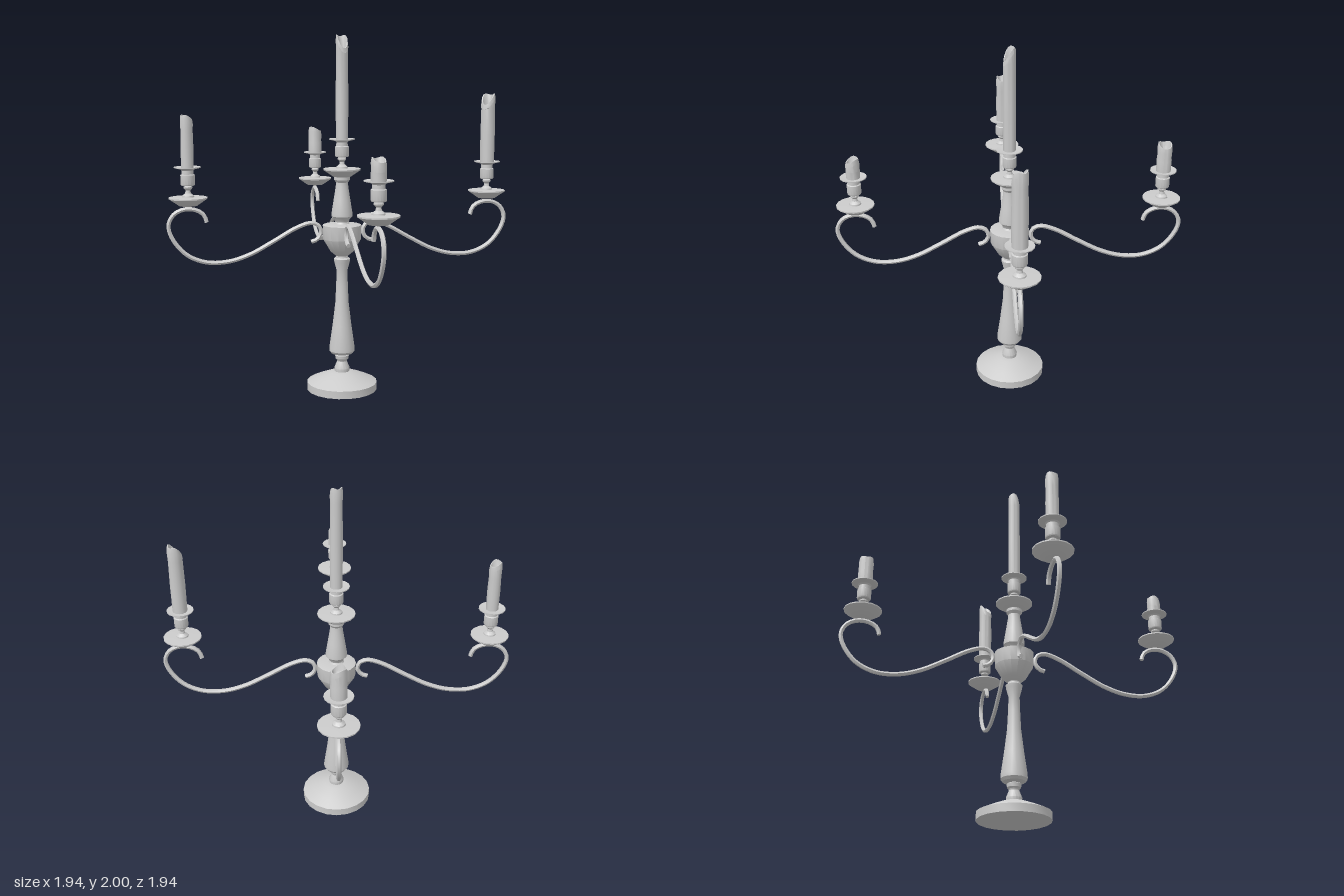
import * as THREE from 'three';
import { toCreasedNormals } from 'three/addons/utils/BufferGeometryUtils.js';

const material = new THREE.MeshStandardMaterial({ color: 0xcccccc, side: THREE.DoubleSide });

function addMesh(parent, name, geometry) {
  const mesh = new THREE.Mesh(toCreasedNormals(geometry, 0.55), material);
  mesh.name = name;
  parent.add(mesh);
  return mesh;
}

function lathe(profile, sides) {
  return new THREE.LatheGeometry(profile.map(([r, y]) => new THREE.Vector2(r, y)), sides);
}

// Candle with a hollow melted top; the rim dips towards one angle (0 = +z, PI/2 = +x)
function candleGeometry(radius, height, notchAngle, notchDepth) {
  const r = radius, h = height, pool = Math.max(0.04, notchDepth);
  const geometry = lathe([
    [0, 0], [r, 0], [r * 1.03, h * 0.4], [r * 0.97, h - 0.09], [r * 1.02, h - 0.03],
    [r * 0.92, h - 0.004], [r * 0.78, h - 0.004], [r * 0.62, h - 0.03],
    [r * 0.45, h - pool - 0.015], [0, h - pool - 0.02],
  ], 14);
  const p = geometry.attributes.position;
  for (let i = 0; i < p.count; i++) {
    const x = p.getX(i), y = p.getY(i), z = p.getZ(i);
    if (y < h - 0.035 || Math.hypot(x, z) < r * 0.5) continue;
    const angle = Math.atan2(x, z);
    const dip = Math.pow(0.5 + 0.5 * Math.cos(angle - notchAngle), 3);
    const ripple = 0.004 * (1 - Math.cos(3 * (angle - notchAngle)));
    p.setY(i, y - notchDepth * dip - ripple);
  }
  return geometry;
}

// Dish, stem, cup, drip plate and candle; y = 0 is the underside of the dish
function createHolder(name, radius, height, notchAngle, notchDepth) {
  const holder = new THREE.Group();
  holder.name = name;
  addMesh(holder, 'dish', lathe([
    [0, 0], [0.05, 0.005], [0.105, 0.043], [0.105, 0.05], [0.06, 0.052], [0, 0.053],
  ], 16));
  addMesh(holder, 'candleCup', lathe([
    [0.034, 0.05], [0.032, 0.06], [0.016, 0.073], [0.013, 0.088], [0.024, 0.1],
    [0.024, 0.108], [0.015, 0.113], [0.036, 0.115], [0.039, 0.121], [0.039, 0.172], [0.033, 0.176],
    [0.032, 0.196], [0.039, 0.204], [0, 0.206],
  ], 16));
  addMesh(holder, 'dripPlate', lathe([
    [0, 0.203], [0.04, 0.203], [0.073, 0.211], [0.073, 0.216], [0.04, 0.211], [0, 0.211],
  ], 16));
  const candle = addMesh(holder, 'candle', candleGeometry(radius, height, notchAngle, notchDepth));
  candle.position.y = 0.205;
  return holder;
}

export function createModel() {
  const model = new THREE.Group();
  model.name = 'candelabrum';

  addMesh(model, 'base', lathe([
    [0, 0], [0.2, 0], [0.2, 0.043], [0.14, 0.07], [0.07, 0.098], [0.045, 0.103], [0, 0.103],
  ], 20));

  addMesh(model, 'column', lathe([
    [0.042, 0.1], [0.044, 0.122], [0.028, 0.162], [0.03, 0.17], [0.038, 0.178],
    [0.04, 0.197], [0.032, 0.202], [0.062, 0.21], [0.073, 0.225], [0.073, 0.245],
    [0.055, 0.37], [0.039, 0.5], [0.034, 0.6], [0.031, 0.69], [0.044, 0.738],
    [0.047, 0.757], [0.036, 0.765], [0.033, 0.785],
  ], 16));

  addMesh(model, 'hub', lathe([
    [0, 0.77], [0.035, 0.775], [0.065, 0.8], [0.108, 0.872], [0.11, 0.95], [0.1, 0.953],
    [0.05, 0.958], [0, 0.958],
  ], 16));

  addMesh(model, 'upperColumn', lathe([
    [0.045, 0.955], [0.038, 0.968], [0.045, 0.985], [0.06, 1.0], [0.06, 1.015],
    [0.048, 1.09], [0.036, 1.165], [0.034, 1.19], [0.045, 1.205], [0.045, 1.225], [0, 1.228],
  ], 16));

  // Scrolled arm, curled under at both ends
  const path = new THREE.CatmullRomCurve3([
    [0.175, 0.86], [0.145, 0.87], [0.121, 0.9], [0.128, 0.945], [0.17, 0.966],
    [0.25, 0.945], [0.39, 0.868], [0.52, 0.8], [0.64, 0.765], [0.76, 0.766],
    [0.865, 0.812], [0.938, 0.9], [0.959, 0.975], [0.932, 1.032], [0.88, 1.06],
    [0.815, 1.058], [0.768, 1.03], [0.753, 0.988],
  ].map(([x, y]) => new THREE.Vector3(x, y, 0)));

  const arms = [
    // name, turn about y, candle radius, height, notch angle, notch depth
    ['leftArm', 0, 0.04, 0.4, -0.9, 0.065],
    ['backArm', Math.PI / 2, 0.041, 0.175, 1.6, 0.025],
    ['rightArm', Math.PI, 0.034, 0.295, 1.9, 0.025],
    ['frontArm', -Math.PI / 2, 0.038, 0.125, 0.3, 0.025],
  ];
  for (const [name, turn, radius, height, notch, depth] of arms) {
    const arm = new THREE.Group();
    arm.name = name;
    const scroll = new THREE.Group();
    scroll.rotation.y = turn;
    addMesh(scroll, 'scroll', new THREE.TubeGeometry(path, 56, 0.0125, 6));
    // Flat caps on the two open ends
    for (const t of [0, 1]) {
      const cap = addMesh(scroll, 'scrollEnd', new THREE.CircleGeometry(0.0125, 6));
      cap.position.copy(path.getPointAt(t));
      cap.quaternion.setFromUnitVectors(
        new THREE.Vector3(0, 0, 1), path.getTangentAt(t).multiplyScalar(t ? 1 : -1));
    }
    const holder = createHolder('candleHolder', radius, height, notch, depth);
    holder.position.set(0.85 * Math.cos(turn), 1.077, -0.85 * Math.sin(turn));
    arm.add(scroll, holder);
    model.add(arm);
  }

  // Taller candle on the central column
  const centre = createHolder('centreHolder', 0.034, 0.582, 0.3, 0.075);
  centre.position.y = 1.217;
  model.add(centre);

  return model;
}
